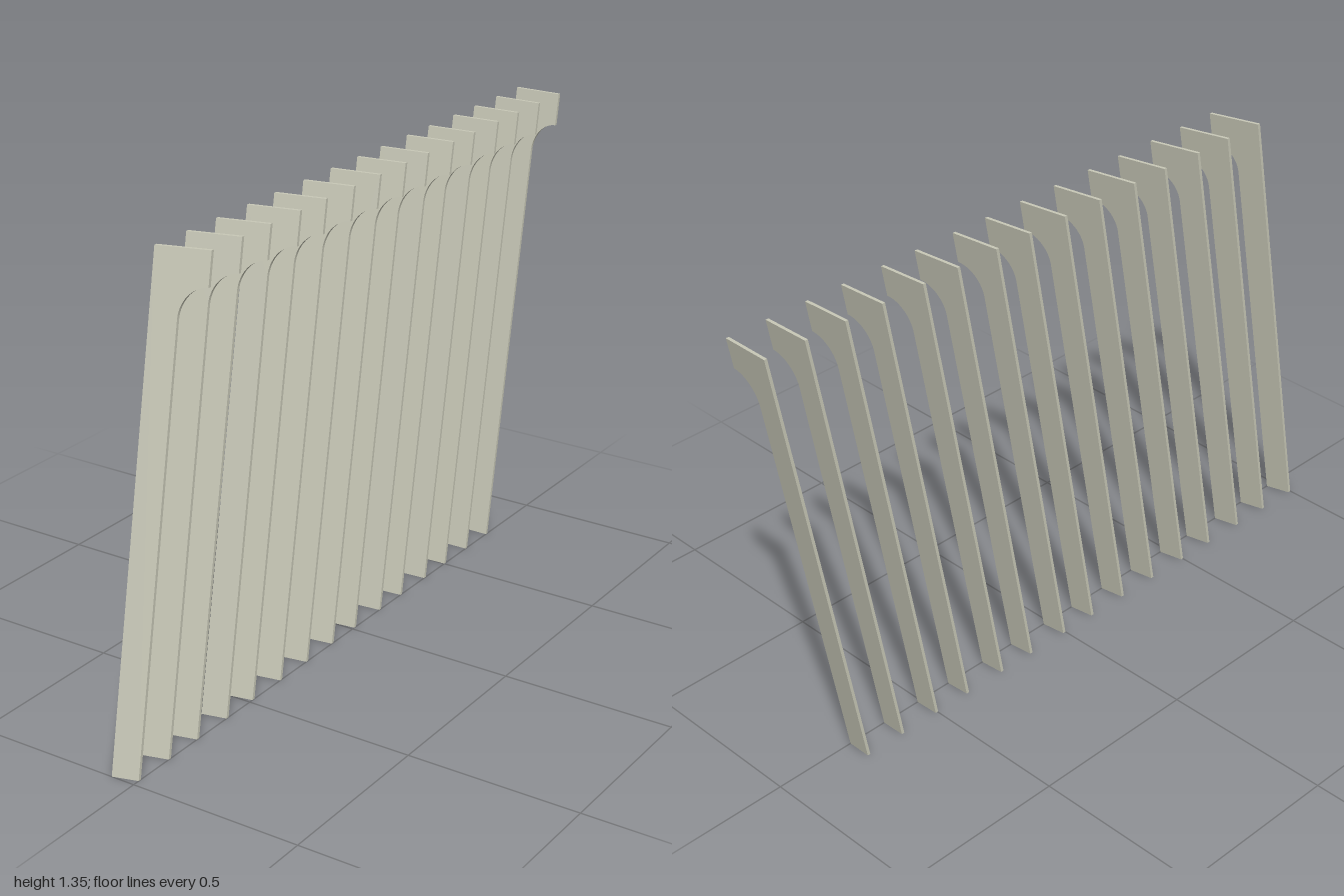
import * as THREE from 'three';

const HEIGHT = 1.345, HALF = 0.07, THICK = 0.009;
const LEAN = 0.245 / HEIGHT; // backward shift per unit of height
const MAX_TWIST = 0.041 / (2 * HALF); // sideways slant of the frontmost fin

// z of each fin's back face at its upper right corner, back to front
const FIN_Z = [-1, -0.877, -0.752, -0.635, -0.502, -0.387, -0.254, -0.138,
  -0.01, 0.117, 0.248, 0.367, 0.498, 0.62, 0.746];

// Upright blade with a curved bracket at the top
function finShape() {
  const s = new THREE.Shape();
  s.moveTo(-HALF, 0);
  s.lineTo(0, 0);
  s.lineTo(0, 1.17);
  s.absellipse(HALF, 1.17, HALF, 0.085, Math.PI, Math.PI / 2, true);
  s.lineTo(HALF, HEIGHT);
  s.lineTo(-HALF, HEIGHT);
  s.closePath();
  return s;
}

// Thin plate, sheared so it leans back and slants across its width
function finGeometry(z, twist) {
  const geo = new THREE.ExtrudeGeometry(finShape(), { depth: THICK, bevelEnabled: false, curveSegments: 16 });
  const p = geo.attributes.position;
  for (let i = 0; i < p.count; i++) {
    const shift = z + (HEIGHT - p.getY(i)) * LEAN - (p.getX(i) + HALF) * twist;
    p.setZ(i, p.getZ(i) + shift);
  }
  geo.computeVertexNormals();
  return geo;
}

export function createModel() {
  const group = new THREE.Group();
  group.name = 'finRow';
  const material = new THREE.MeshStandardMaterial({ color: 0xc9c9b8 });

  // Row of leaning fins, slanting more towards the front
  FIN_Z.forEach((z, i) => {
    const twist = MAX_TWIST * i / (FIN_Z.length - 1);
    const fin = new THREE.Mesh(finGeometry(z, twist), material);
    fin.name = `fin${i + 1}`;
    group.add(fin);
  });
  return group;
}
